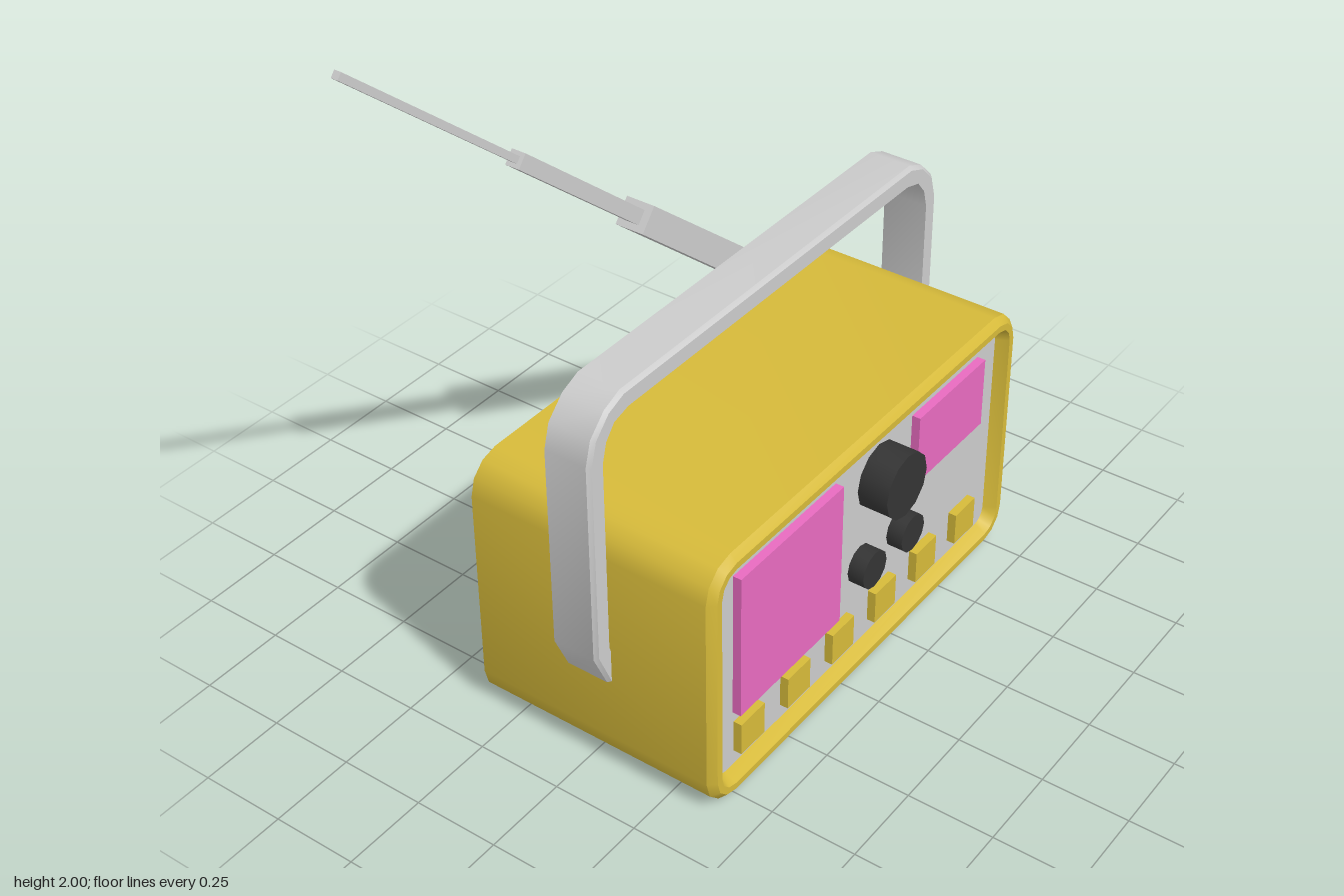
import * as THREE from 'three';
import { toCreasedNormals } from 'three/addons/utils/BufferGeometryUtils.js';

const mat = (color) => new THREE.MeshStandardMaterial({ color, side: THREE.DoubleSide });
const CU = 0.115, HALF = 0.718, TOP = 0.785, R = 0.1; // case centre, half width, height, corner radius

// Rounded rectangle at depth z, counter-clockwise from the lower right corner
function ring(inset, z) {
  const pts = [];
  const r = R - inset;
  [[1, R], [1, TOP - R], [-1, TOP - R], [-1, R]].forEach(([side, cy], k) => {
    for (let i = 0; i <= 3; i++) {
      const a = (k - 1 + i / 3) * Math.PI / 2;
      pts.push(new THREE.Vector3(CU + side * (HALF - R) + r * Math.cos(a), cy + r * Math.sin(a), z));
    }
  });
  return pts;
}

// Skin joining a row of equal-length cross-sections
function loft(rows, closed) {
  const n = rows[0].length, index = [];
  for (let i = 0; i < rows.length - 1; i++) {
    for (let j = 0; j < (closed ? n : n - 1); j++) {
      const k = (j + 1) % n;
      const a = i * n + j, b = i * n + k, c = b + n, d = a + n;
      index.push(a, b, c, a, c, d);
    }
  }
  const geo = new THREE.BufferGeometry().setFromPoints(rows.flat());
  geo.setIndex(index);
  return toCreasedNormals(geo, 0.6);
}

export function createModel() {
  const model = new THREE.Group();
  model.name = 'portableRadio';
  const radio = new THREE.Group();
  radio.name = 'radio';
  radio.rotation.y = Math.PI / 2; // built facing +z, turned to face +x
  model.add(radio);

  const yellow = mat(0xd6ba3a), grey = mat(0xcccccc), dark = mat(0x343434), pink = mat(0xe86bc0);
  const add = (name, geo, material, x = 0, y = 0, z = 0) => {
    const mesh = new THREE.Mesh(geo, material);
    mesh.name = name;
    mesh.position.set(x, y, z);
    radio.add(mesh);
    return mesh;
  };

  // Case: thin shell, open at the back and underneath
  add('caseShell', loft([ring(0, -0.36), ring(0, 0.37)].map((r) => r.slice(1, -1)), false), yellow);
  add('frontRim', loft([ring(0, 0.37), ring(0.02, 0.39), ring(0.04, 0.39), ring(0.06, 0.355)], true), yellow);
  const face = new THREE.Shape(ring(0.06, 0).map((p) => new THREE.Vector2(p.x, p.y)));
  add('frontPanel', new THREE.ShapeGeometry(face), grey, 0, 0, 0.355);

  // Raised tiles on the panel, without hidden back or bottom
  const tile = (name, x, y, w, h, material) => {
    const geo = new THREE.BoxGeometry(w, h, 0.03);
    const idx = Array.from(geo.index.array);
    geo.setIndex([...idx.slice(0, 18), ...idx.slice(24, 30)]);
    add(name, geo, material, x, y, 0.365);
  };
  tile('speakerPanel', -0.245, 0.462, 0.45, 0.445, pink);
  tile('dialDisplay', 0.512, 0.573, 0.335, 0.215, pink);
  for (let i = 0; i < 6; i++) tile('button', -0.415 + i * 0.208, 0.155, 0.102, 0.1, yellow);

  // Knobs: full face, side wall open underneath
  const knob = (name, x, y, r, front) => {
    const depth = front - 0.355;
    const wall = new THREE.CylinderGeometry(r, r, depth, 8, 1, true, Math.PI / 3, Math.PI * 4 / 3);
    wall.rotateX(Math.PI / 2);
    add(name + 'Wall', toCreasedNormals(wall, 0.6), dark, x, y, 0.355 + depth / 2);
    add(name + 'Face', new THREE.CircleGeometry(r, 12), dark, x, y, front);
  };
  knob('tuningKnob', 0.183, 0.588, 0.097, 0.445);
  knob('volumeKnob', 0.108, 0.337, 0.057, 0.404);
  knob('toneKnob', 0.297, 0.337, 0.057, 0.404);

  // Carrying handle: [outer x, outer y, inner x, inner y] for one half, mirrored
  const half = [
    [0.725, 0.29, 0.69, 0.31], [0.775, 0.4, 0.723, 0.41], [0.775, 1.0, 0.723, 0.985],
    [0.755, 1.07, 0.708, 1.04], [0.7, 1.125, 0.675, 1.08], [0.64, 1.15, 0.62, 1.095],
  ];
  const path = [...half, ...half.map(([a, b, c, d]) => [-a, b, -c, d]).reverse()];
  const handleRows = path.map(([ox, oy, ix, iy]) =>
    [[0, -0.06], [1, -0.06], [1, 0.075], [0.2, 0.075], [0, 0.065]].map(([t, z]) =>
      new THREE.Vector3(CU + ox + (ix - ox) * t, oy + (iy - oy) * t, z)));
  add('handle', loft(handleRows, true), grey);

  // Aerial: slanted base with a level foot, two telescoping rods and a pivot
  const foot = new THREE.Shape([[0.623, 0.675], [0.76, 0.675], [0.173, 1.159], [0.121, 1.097]]
    .map(([x, y]) => new THREE.Vector2(x, y)));
  add('aerialBase', new THREE.ExtrudeGeometry(foot, { depth: 0.09, bevelEnabled: false }), grey, 0, 0, -0.45);
  const rod = (name, x0, y0, x1, y1, w) => {
    const geo = new THREE.BoxGeometry(Math.hypot(x1 - x0, y1 - y0), w, w);
    const mesh = add(name, geo, grey, (x0 + x1) / 2, (y0 + y1) / 2, -0.404);
    mesh.rotation.z = Math.atan2(y1 - y0, x1 - x0);
  };
  rod('aerialMiddle', 0.147, 1.128, -0.315, 1.517, 0.043);
  rod('aerialTip', -0.315, 1.517, -0.88, 1.992, 0.02);
  const pivot = new THREE.CylinderGeometry(0.095, 0.095, 0.02, 16).rotateX(Math.PI / 2);
  add('aerialPivot', toCreasedNormals(pivot, 0.6), grey, 0.66, 0.68, -0.35);

  return model;
}
